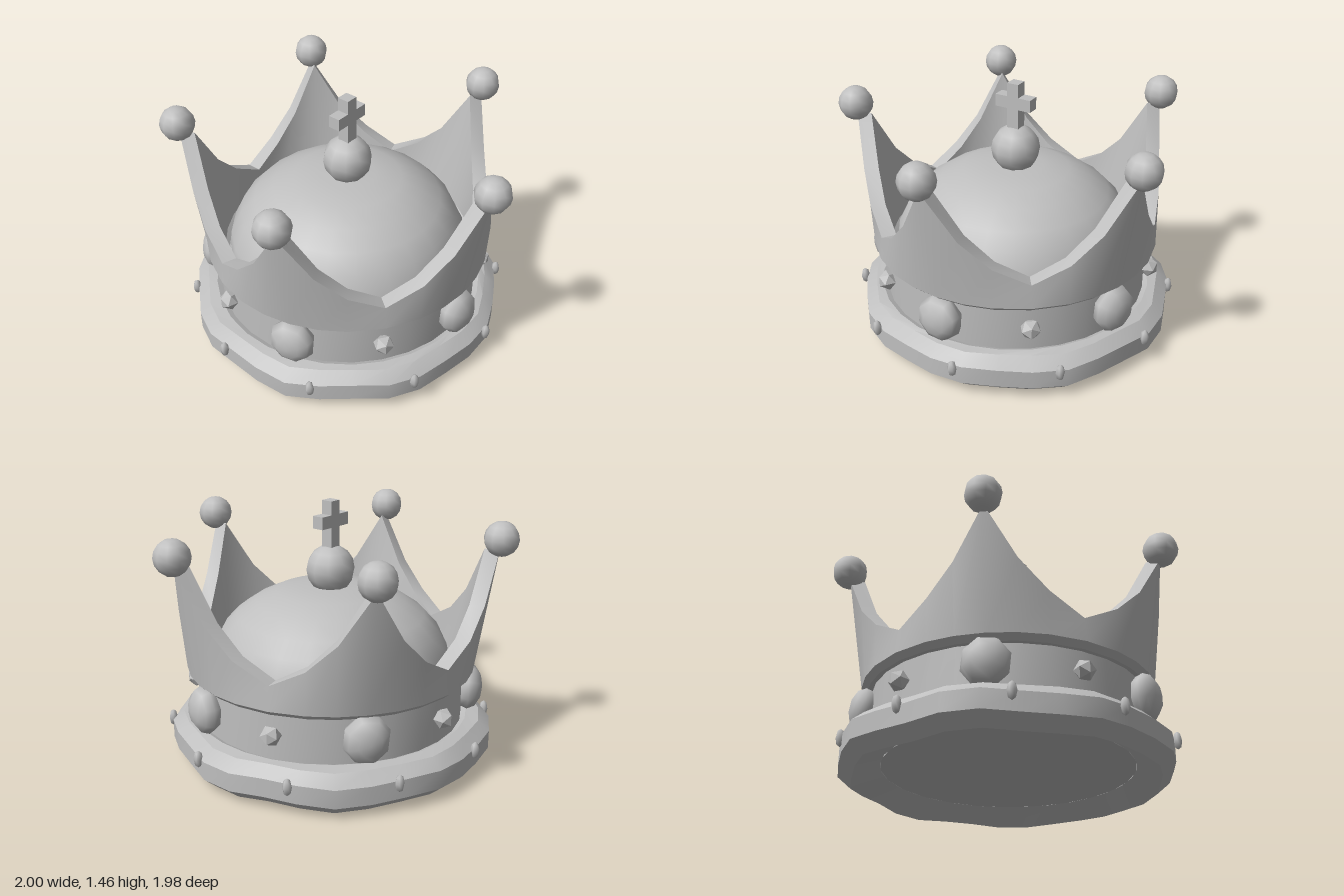
import * as THREE from 'three';
import { toCreasedNormals } from 'three/addons/utils/BufferGeometryUtils.js';

const metal = new THREE.MeshStandardMaterial({ color: 0xbfbfbf, side: THREE.DoubleSide });
metal.name = 'plain grey';
const DEG = Math.PI / 180;

// Closed ring swept round the y axis; each section is [[radius, y], ...],
// ordered outer bottom, outer top, inner top, inner bottom.
function sweepRing(angles, sectionAt, crease) {
  const pos = [], index = [];
  const n = angles.length;
  const m = sectionAt(angles[0], 0).length;
  angles.forEach((a, i) => {
    for (const [r, y] of sectionAt(a, i)) pos.push(r * Math.sin(a * DEG), y, r * Math.cos(a * DEG));
  });
  for (let i = 0; i < n; i++) {
    const k = (i + 1) % n;
    for (let j = 0; j < m; j++) {
      const l = (j + 1) % m;
      index.push(i * m + j, k * m + j, k * m + l, i * m + j, k * m + l, i * m + l);
    }
  }
  const g = new THREE.BufferGeometry();
  g.setAttribute('position', new THREE.Float32BufferAttribute(pos, 3));
  g.setIndex(index);
  return toCreasedNormals(g, crease);
}

export function createModel() {
  const model = new THREE.Group();
  model.name = 'crown';
  const body = new THREE.Group();
  body.name = 'crownBody';
  body.position.z = -0.055;
  model.add(body);

  const add = (name, geometry, x = 0, y = 0, z = 0) => {
    const mesh = new THREE.Mesh(geometry, metal);
    mesh.name = name;
    mesh.position.set(x, y, z);
    body.add(mesh);
    return mesh;
  };
  // Repeat a part round the axis, turned to face outwards
  const around = (name, geometry, count, start, radius, y) => {
    for (let i = 0; i < count; i++) {
      const a = (start + (i * 360) / count) * DEG;
      add(name, geometry, radius * Math.sin(a), y, radius * Math.cos(a)).rotation.y = a;
    }
  };

  // Padded base ring with an uneven outline and an inward-sloping underside
  const baseAngles = Array.from({ length: 30 }, (_, i) => i * 12);
  add('baseRing', sweepRing(baseAngles, (a, i) => {
    const w = 0.014 * Math.sin(i * 1.9) - 0.012 * Math.cos(a * DEG);
    const v = 0.009 * Math.sin(i * 1.5);
    return [
      [0.845 + w, 0.014 + v], [0.92 + w, 0.08 + v], [0.92 + w, 0.185 + v],
      [0.855 + w, 0.243 + v * 0.5], [0.8, 0.25], [0.75, 0.225], [0.7, 0.2], [0.7, 0.1],
    ];
  }, 0.5));

  // Straight band that carries the gems
  add('band', sweepRing(baseAngles, () => [[0.77, 0.2], [0.77, 0.51], [0.69, 0.51], [0.69, 0.2]], 0.6));

  // Upper crown wall with five flared points
  const edge = [[-36, 0.665], [-22, 0.77], [-11, 0.925], [0, 1.205], [11, 0.925], [22, 0.77]];
  const wallAngles = [], wallTops = [];
  for (let p = 0; p < 5; p++) {
    for (const [a, y] of edge) {
      wallAngles.push(p * 72 + a);
      wallTops.push(y);
    }
  }
  add('crownPoints', sweepRing(wallAngles, (a, i) => {
    const y = wallTops[i];
    const r = 0.815 + (0.125 * (y - 0.665)) / 0.54;
    return [[0.795, 0.5], [0.828, 0.53], [r, y], [r - 0.085, y], [0.725, 0.53], [0.69, 0.5]];
  }, 0.5));

  // Balls on the points
  around('pointBall', new THREE.SphereGeometry(0.1, 10, 8), 5, 0, 0.945, 1.262);

  // Inner cap with a flat floor closing it underneath
  const dome = [[0.7, 0.1], [0.7, 0.5], [0.685, 0.6], [0.62, 0.735], [0.54, 0.82], [0.43, 0.895],
    [0.31, 0.95], [0.16, 0.97], [0, 0.975]];
  add('dome', new THREE.LatheGeometry(dome.map(([r, y]) => new THREE.Vector2(r, y)), 24));
  add('floor', new THREE.CircleGeometry(0.7, 24).rotateX(Math.PI / 2), 0, 0.1, 0);

  // Orb and cross on top
  add('orb', new THREE.SphereGeometry(0.14, 10, 8), 0, 1.07, 0);
  add('crossUpright', new THREE.BoxGeometry(0.07, 0.285, 0.07), 0, 1.32, 0);
  for (const s of [-1, 1]) add('crossArm', new THREE.BoxGeometry(0.075, 0.07, 0.07), s * 0.0725, 1.35, 0);

  // Large oval gems under the points
  const gem = new THREE.SphereGeometry(1, 8, 6).rotateX(Math.PI / 2).rotateZ(0.3).scale(0.132, 0.138, 0.088);
  around('largeGem', gem, 5, 0, 0.8, 0.385);

  // Small faceted gems between them
  around('smallGem', new THREE.IcosahedronGeometry(0.058, 0), 5, 36, 0.798, 0.383);

  // Slim studs on the base ring
  around('baseStud', new THREE.SphereGeometry(1, 6, 4).scale(0.026, 0.05, 0.026), 10, 9, 0.928, 0.178);

  return model;
}
